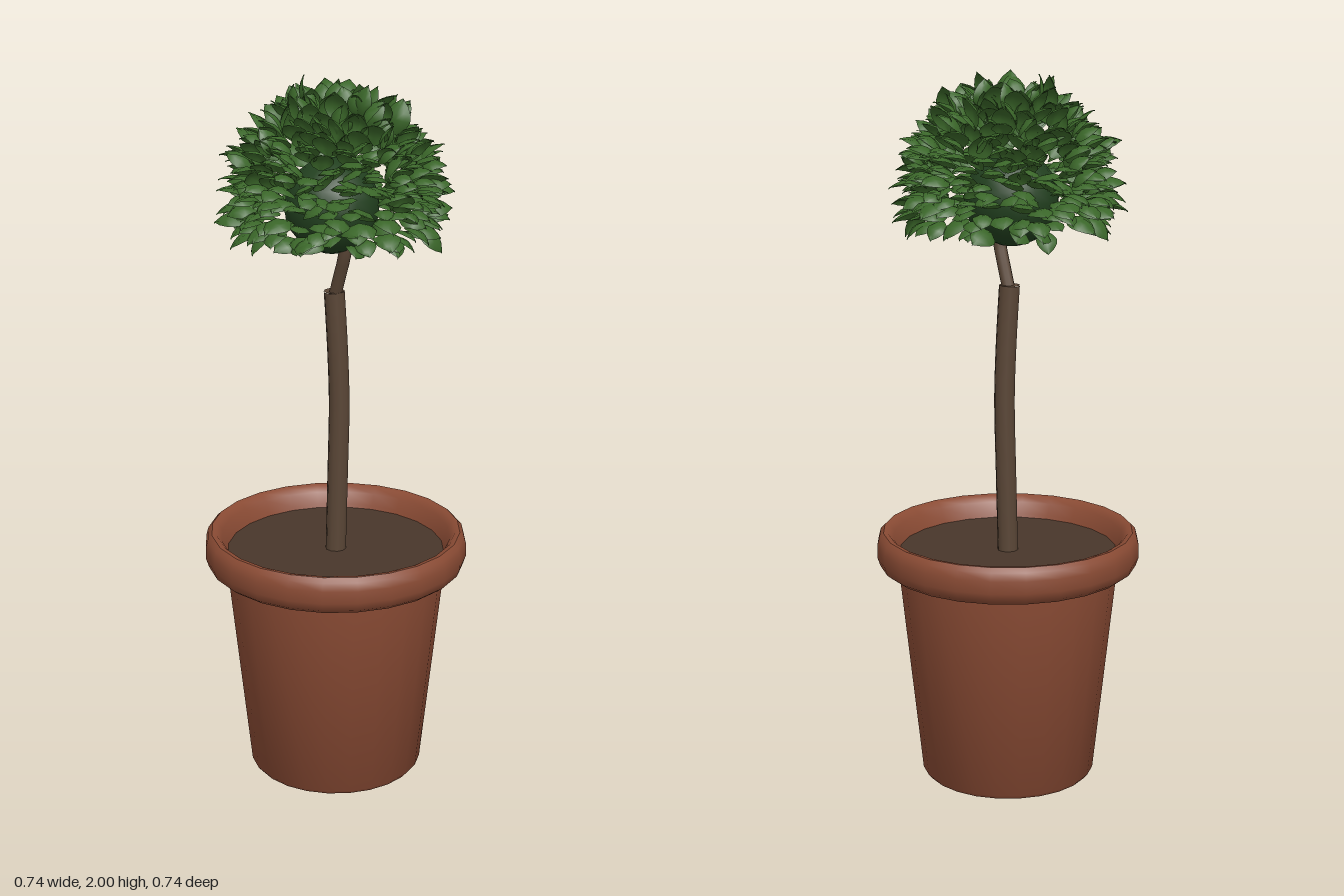
import * as THREE from 'three';
import { mergeGeometries, toCreasedNormals } from 'three/addons/utils/BufferGeometryUtils.js';

const material = (color, side = THREE.FrontSide) => new THREE.MeshStandardMaterial({ color, side });

function addMesh(group, name, geometry, mat) {
  const mesh = new THREE.Mesh(geometry, mat);
  mesh.name = name;
  group.add(mesh);
  return mesh;
}

const lathe = (profile) => toCreasedNormals(
  new THREE.LatheGeometry(profile.map(([r, y]) => new THREE.Vector2(r, y)), 24), 0.75);

const tube = (points, radius, segments) => new THREE.TubeGeometry(
  new THREE.CatmullRomCurve3(points.map((p) => new THREE.Vector3(...p))), segments, radius, 10);

function seededRandom(seed) {
  return () => {
    seed = (seed * 16807) % 2147483647;
    return seed / 2147483647;
  };
}

// Pointed oval leaf along +y, cupped, with a creased midrib facing +z
function leafGeometry() {
  const leaf = new THREE.PlaneGeometry(2, 1, 4, 5);
  const pos = leaf.attributes.position;
  const halfWidths = [0.06, 0.28, 0.38, 0.35, 0.22, 0];
  for (let i = 0; i < pos.count; i++) {
    const across = pos.getX(i);
    const t = pos.getY(i) + 0.5;
    const half = halfWidths[Math.round(t * 5)];
    const dome = 0.22 * Math.sin(Math.PI * t);
    pos.setXYZ(i, across * half, t,
      dome - 0.45 * half * across * across - 0.04 * (across === 0 ? 1 : 0));
  }
  leaf.computeVertexNormals();
  return leaf;
}

// Leaves point outward from a sphere that is cut flat underneath
function foliageGeometry(centre) {
  const random = seededRandom(77);
  const spread = (amount) => (random() - 0.5) * 2 * amount;
  const base = leafGeometry();
  const leaves = [];
  const count = 470;
  const up = new THREE.Vector3(0, 1, 0);
  for (let i = 0; i < count; i++) {
    const y = 0.985 - 1.36 * (i + 0.5) / count;
    const ring = Math.sqrt(1 - y * y);
    const angle = i * 2.39996 + spread(0.15);
    const out = new THREE.Vector3(ring * Math.cos(angle), y, ring * Math.sin(angle));
    const along = out.clone().add(new THREE.Vector3(spread(0.45), spread(0.3), spread(0.45))).normalize();
    const face = up.clone().addScaledVector(out, 0.45)
      .add(new THREE.Vector3(spread(0.5), 0, spread(0.5)));
    const side = new THREE.Vector3().crossVectors(along, face).normalize();
    face.crossVectors(side, along);
    const length = 0.085 + spread(0.015);
    const start = out.clone().multiplyScalar(0.222 + spread(0.022)).add(centre);
    const matrix = new THREE.Matrix4().makeBasis(side, along, face)
      .scale(new THREE.Vector3(length, length, length)).setPosition(start);
    leaves.push(base.clone().applyMatrix4(matrix));
  }
  return mergeGeometries(leaves);
}

export function createModel() {
  const model = new THREE.Group();
  model.name = 'pottedTree';
  const clay = material(0x8a4b34);
  const bark = material(0x5a4636);

  // Tapered pot with a thick rounded rim
  addMesh(model, 'pot', lathe([
    [0, 0], [0.235, 0], [0.245, 0.012], [0.31, 0.615], [0.31, 0.65], [0.29, 0.65],
  ]), clay);
  addMesh(model, 'potRim', lathe([
    [0.3, 0.64], [0.315, 0.618], [0.345, 0.613], [0.362, 0.626], [0.37, 0.65], [0.37, 0.685],
    [0.364, 0.708], [0.352, 0.72], [0.338, 0.718], [0.324, 0.702], [0.31, 0.67], [0.3, 0.64],
  ]), clay);
  const soil = addMesh(model, 'soil', new THREE.CircleGeometry(0.31, 24), material(0x48362a));
  soil.rotation.x = -Math.PI / 2;
  soil.position.y = 0.66;

  // Slightly bowed trunk with a flat cut top, and the thin stem into the crown
  addMesh(model, 'trunk', tube([
    [0, 0.64, 0], [0.006, 0.9, 0], [0.01, 1.1, 0], [0.004, 1.28, 0], [-0.004, 1.42, 0],
  ], 0.029, 12), bark);
  const cut = addMesh(model, 'trunkTop', new THREE.CircleGeometry(0.029, 10), bark);
  cut.rotation.x = -Math.PI / 2;
  cut.position.set(-0.004, 1.42, 0);
  addMesh(model, 'stem', tube([
    [-0.004, 1.4, 0], [0.008, 1.47, 0.022], [0.02, 1.55, 0.045], [0.02, 1.62, 0.04],
  ], 0.018, 6), bark);

  // Dark inner ball and the leaf shell around it
  const core = addMesh(model, 'crownCore', new THREE.SphereGeometry(0.13, 16, 12), material(0x22401f));
  core.position.set(-0.01, 1.66, 0);
  addMesh(model, 'leaves', foliageGeometry(new THREE.Vector3(0, 1.685, 0)),
    material(0x3a6629, THREE.DoubleSide));
  return model;
}
